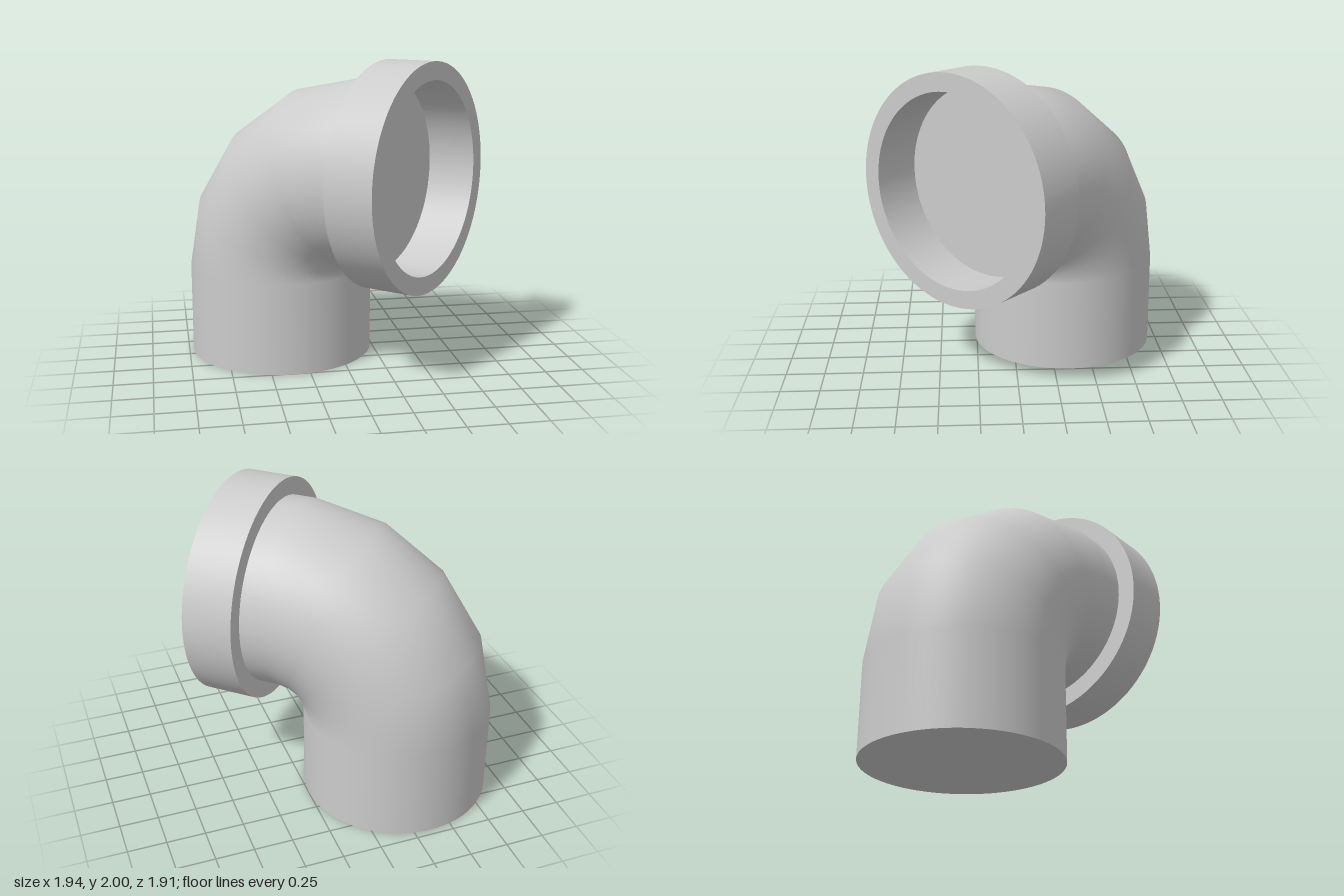
import * as THREE from 'three';
import { toCreasedNormals } from 'three/addons/utils/BufferGeometryUtils.js';

const SIDES = 96;
const R = 0.61;            // pipe radius
const BEND = 0.675;        // bend radius of the centre line
const LEG = 0.6;           // height of the upright pipe
const AXIS_Y = LEG + BEND; // height of the outlet axis
const COLLAR_IN = 0.815;   // collar start and end along the outlet axis
const COLLAR_OUT = 1.14;
const COLLAR_R = 0.725;

export function createModel() {
  const model = new THREE.Group();
  model.name = 'pipeElbow';
  const material = new THREE.MeshStandardMaterial({ color: 0xcccccc });

  // The elbow is built in the xy plane, outlet towards +x, then turned
  const elbow = new THREE.Group();
  elbow.name = 'elbow';
  elbow.position.set(-0.362, 0, -0.348);
  elbow.rotation.y = -0.733;
  model.add(elbow);

  const add = (name, geometry, x, y) => {
    const mesh = new THREE.Mesh(geometry, material);
    mesh.name = name;
    mesh.position.set(x, y, 0);
    elbow.add(mesh);
  };
  const tube = (length) => new THREE.CylinderGeometry(R, R, length, SIDES, 1, true);

  // Upright pipe with closed base
  add('uprightPipe', tube(LEG), 0, LEG / 2);
  add('baseCap', new THREE.CircleGeometry(R, SIDES).rotateX(Math.PI / 2), 0, 0);

  // Quarter bend in four coarse steps
  add('bend', new THREE.TorusGeometry(BEND, R, SIDES, 4, Math.PI / 2).rotateY(Math.PI), BEND, LEG);

  // Short outlet pipe and the disc that closes it inside the collar
  const neck = COLLAR_IN - BEND;
  add('outletPipe', tube(neck).rotateZ(-Math.PI / 2), BEND + neck / 2, AXIS_Y);
  add('outletCap', new THREE.CircleGeometry(R, SIDES).rotateY(Math.PI / 2), COLLAR_IN, AXIS_Y);

  // Collar: a thick ring around the outlet
  const depth = COLLAR_OUT - COLLAR_IN;
  const profile = [
    [R, 0], [COLLAR_R, 0], [COLLAR_R, depth], [R, depth], [R, 0],
  ].map(([r, y]) => new THREE.Vector2(r, y));
  const ring = toCreasedNormals(new THREE.LatheGeometry(profile, SIDES), 0.5);
  add('collar', ring.rotateZ(-Math.PI / 2), COLLAR_IN, AXIS_Y);

  return model;
}
